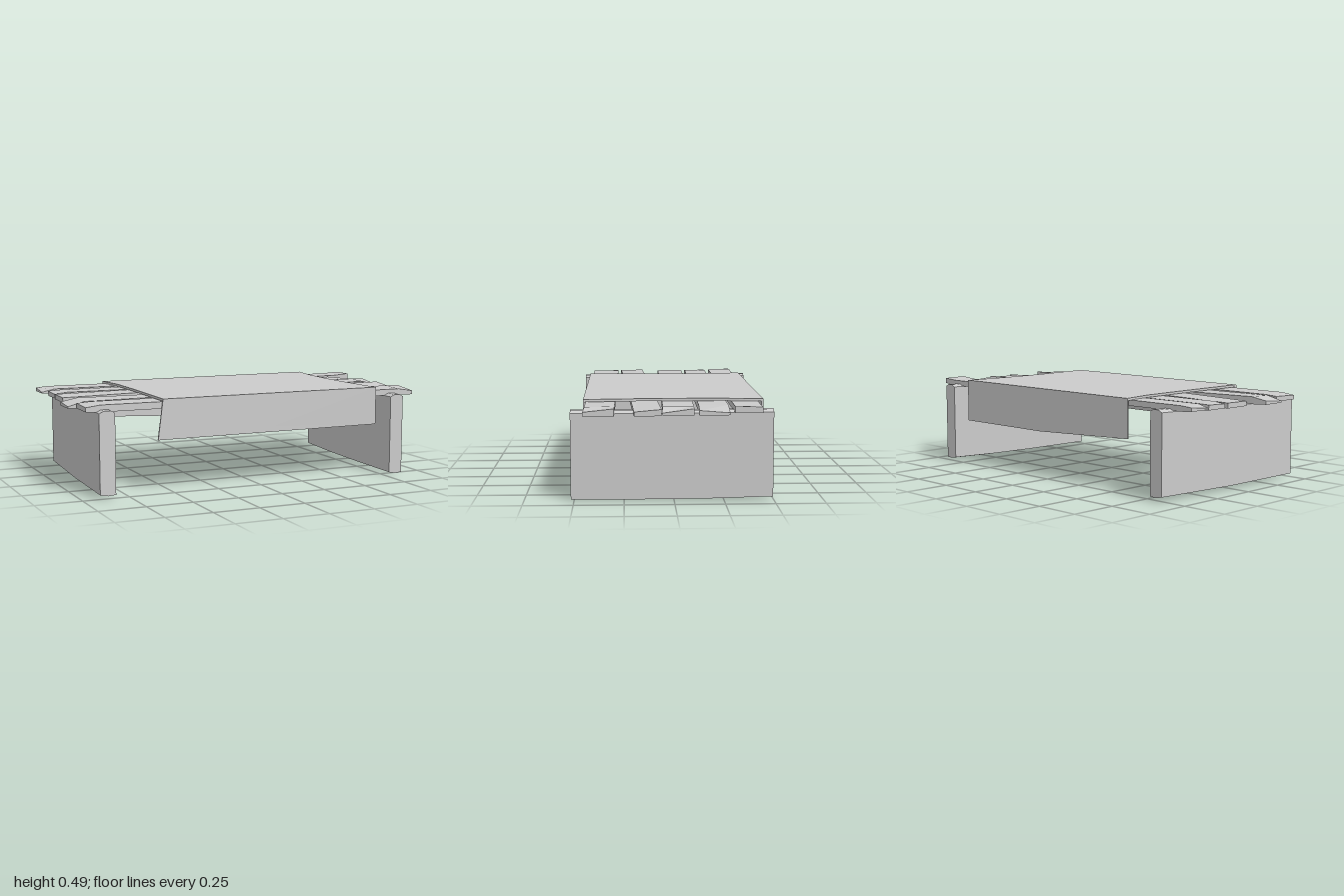
import * as THREE from 'three';

const material = new THREE.MeshStandardMaterial({ color: 0xcccccc, flatShading: true });

// Skins a list of equal-length rings of [x, y, z] points and closes both ends.
function loft(name, rings) {
  const tris = [];
  const n = rings[0].length;
  for (let i = 0; i < rings.length - 1; i++) {
    for (let j = 0; j < n; j++) {
      const k = (j + 1) % n;
      const a = rings[i][j], b = rings[i][k], c = rings[i + 1][k], d = rings[i + 1][j];
      tris.push([a, b, c], [a, c, d]);
    }
  }
  const first = rings[0], last = rings[rings.length - 1];
  for (let j = 1; j < n - 1; j++) {
    tris.push([first[0], first[j + 1], first[j]], [last[0], last[j], last[j + 1]]);
  }
  // Turn all faces outward, judged by the signed volume
  let volume = 0;
  for (const [a, b, c] of tris) {
    volume += new THREE.Vector3(...a).dot(new THREE.Vector3(...b).cross(new THREE.Vector3(...c)));
  }
  if (volume < 0) tris.forEach((t) => t.reverse());
  const geometry = new THREE.BufferGeometry();
  geometry.setAttribute('position', new THREE.Float32BufferAttribute(tris.flat(2), 3));
  geometry.computeVertexNormals();
  const mesh = new THREE.Mesh(geometry, material);
  mesh.name = name;
  return mesh;
}

// Rough plank along x; sections are [x, zBack, zFront, yBottom, yTopBack, yTopFront]
function plank(name, sections) {
  return loft(name, sections.map(([x, z0, z1, y, t0, t1]) => [
    [x, y, z0], [x, t0, z0], [x, t1, z1], [x, y, z1],
  ]));
}

// Upright slab along z with bevelled top; sections are [z, x0, x1, yBottom, yTop]
function slab(name, sections) {
  return loft(name, sections.map(([z, x0, x1, y, top]) => [
    [x0, y + 0.008, z], [x0, top - 0.012, z], [x0 + 0.025, top, z],
    [x1 - 0.02, top, z], [x1, top - 0.012, z], [x1, y + 0.004, z], [(x0 + x1) / 2, y, z],
  ]));
}

// Cloth across the table; stations run front hem, top, back hem
function cloth() {
  const stations = [
    // xLeft, xRight, y at three places, z outside, y drop and z inset of inner side
    [-0.573, 0.74, [0.275, 0.31, 0.28], 0.456, 0, 0.01],
    [-0.545, 0.74, [0.49, 0.49, 0.49], 0.456, 0.013, 0.01],
    [-0.54, 0.712, [0.49, 0.49, 0.49], 0.12, 0.013, 0],
    [-0.54, 0.708, [0.49, 0.49, 0.49], -0.08, 0.013, 0],
    [-0.543, 0.715, [0.49, 0.49, 0.49], -0.28, 0.013, 0],
    [-0.573, 0.74, [0.49, 0.49, 0.49], -0.462, 0.013, -0.01],
    [-0.573, 0.74, [0.28, 0.25, 0.25], -0.462, 0, -0.01],
  ];
  return loft('cloth', stations.map(([x0, x1, ys, z, drop, inset]) => {
    const xs = [x0, 0.1, x1];
    const outer = xs.map((x, i) => [x, ys[i], z]);
    const inner = xs.map((x, i) => [x, ys[i] - drop, z - inset]);
    return [...outer, ...inner.reverse()];
  }));
}

export function createModel() {
  const table = new THREE.Group();
  table.name = 'lowTable';

  // End supports, slightly crooked
  table.add(slab('leftSupport', [
    [0.517, 0.8, 0.88, 0, 0.45], [0.1, 0.812, 0.892, 0, 0.45],
    [-0.2, 0.818, 0.898, 0.004, 0.452], [-0.497, 0.827, 0.905, 0.013, 0.457],
  ]));
  table.add(slab('rightSupport', [
    [0.495, -0.905, -0.82, 0.012, 0.45], [0, -0.885, -0.805, 0.008, 0.45],
    [-0.52, -0.865, -0.787, 0.018, 0.46],
  ]));

  // Five uneven planks with chipped ends, from back to front
  const planks = [
    [[-0.982, -0.435, -0.305, 0.455, 0.475, 0.462], [-0.91, -0.435, -0.3, 0.45, 0.48, 0.478],
      [0.9, -0.435, -0.3, 0.445, 0.476, 0.476], [0.995, -0.432, -0.295, 0.452, 0.482, 0.484]],
    [[-0.955, -0.27, -0.145, 0.445, 0.472, 0.468], [-0.88, -0.275, -0.145, 0.44, 0.475, 0.475],
      [0.84, -0.275, -0.125, 0.437, 0.472, 0.472], [0.985, -0.272, -0.12, 0.44, 0.452, 0.464]],
    [[-0.957, -0.125, 0.028, 0.442, 0.47, 0.468], [-0.54, -0.12, 0.032, 0.438, 0.475, 0.475],
      [0.9, -0.098, 0.058, 0.438, 0.475, 0.475], [0.985, -0.095, 0.06, 0.44, 0.473, 0.452]],
    [[-1, 0.135, 0.27, 0.442, 0.462, 0.452], [-0.91, 0.13, 0.268, 0.438, 0.478, 0.474],
      [-0.54, 0.113, 0.25, 0.436, 0.474, 0.474], [0.985, 0.065, 0.2, 0.437, 0.47, 0.458]],
    [[-0.957, 0.285, 0.44, 0.442, 0.47, 0.465], [-0.88, 0.285, 0.44, 0.438, 0.475, 0.475],
      [0.9, 0.295, 0.445, 0.438, 0.475, 0.472], [0.985, 0.298, 0.452, 0.437, 0.474, 0.458]],
  ];
  planks.forEach((sections, i) => table.add(plank(`plank${i + 1}`, sections)));

  table.add(cloth());
  return table;
}
